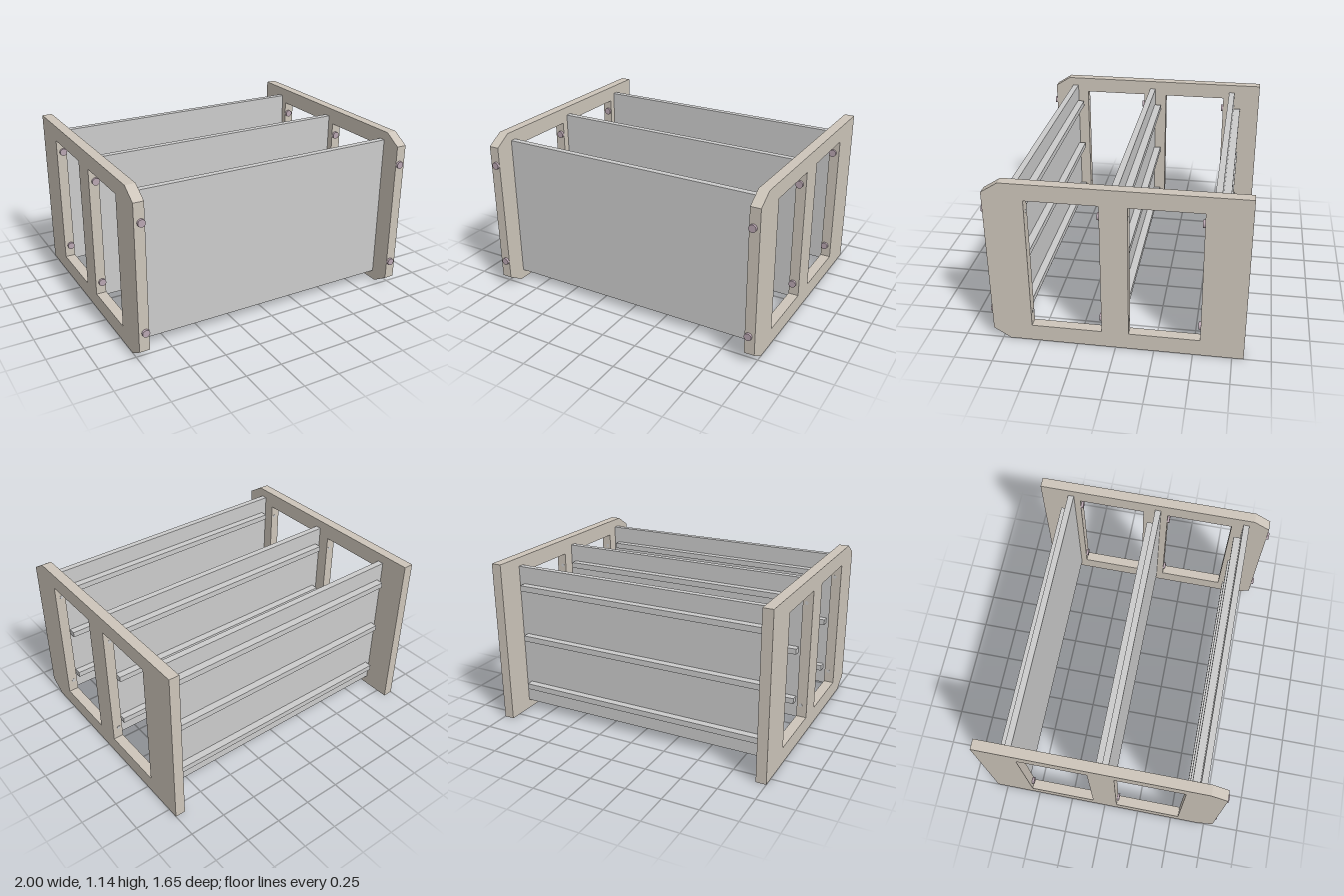
import * as THREE from 'three';

const wood = new THREE.MeshStandardMaterial({ color: 0xcdc5ba });
const grey = new THREE.MeshStandardMaterial({ color: 0xcccccc });
const metal = new THREE.MeshStandardMaterial({ color: 0xb9a6b1 });

function addMesh(parent, name, geometry, material, x, y, z) {
  const mesh = new THREE.Mesh(geometry, material);
  mesh.name = name;
  mesh.position.set(x, y, z);
  parent.add(mesh);
  return mesh;
}

// Side frame outline drawn in (z, y): chamfered front corners, two windows
function sideFrameGeometry() {
  const points = (list) => list.map(([z, y]) => new THREE.Vector2(z, y));
  const shape = new THREE.Shape(points([
    [-0.825, 0], [0.7, 0], [0.81, 0.07], [0.81, 1.07], [0.7, 1.14], [-0.825, 1.14],
  ]));
  for (const [z0, z1] of [[0.09, 0.55], [-0.545, -0.085]]) {
    shape.holes.push(new THREE.Path(points([[z0, 0.115], [z0, 1.03], [z1, 1.03], [z1, 0.115]])));
  }
  const geometry = new THREE.ExtrudeGeometry(shape, { depth: 0.07, bevelEnabled: false });
  return geometry.rotateY(-Math.PI / 2).translate(0.035, 0, 0);
}

export function createModel() {
  const model = new THREE.Group();
  model.name = 'dividerRack';

  // Side frames
  const frame = sideFrameGeometry();
  addMesh(model, 'leftSideFrame', frame, wood, 0.965, 0, 0);
  addMesh(model, 'rightSideFrame', frame, wood, -0.965, 0, 0);

  // Upright panels, each with three battens along its back
  const panel = new THREE.BoxGeometry(1.87, 1.015, 0.042);
  const batten = new THREE.BoxGeometry(1.785, 0.04, 0.05);
  for (const z of [0.65, 0.02, -0.61]) {
    const divider = new THREE.Group();
    divider.name = 'divider';
    divider.position.z = z;
    addMesh(divider, 'panel', panel, grey, 0, 0.5725, 0);
    for (const y of [0.2, 0.57, 0.94]) {
      addMesh(divider, 'batten', batten, grey, 0, y, -0.046);
    }
    model.add(divider);
  }

  // Bolt heads on the front face of every post
  const head = new THREE.CylinderGeometry(0.025, 0.025, 0.018, 24).rotateX(Math.PI / 2);
  const socket = new THREE.CylinderGeometry(0.013, 0.013, 0.002, 16).rotateX(Math.PI / 2);
  for (const x of [-0.956, 0.956]) {
    for (const y of [0.2, 0.94]) {
      for (const z of [0.81, 0.09, -0.545]) {
        addMesh(model, 'boltHead', head, metal, x, y, z + 0.007);
      }
      // Bolt ends showing on the back of the front and middle posts
      for (const z of [0.55, -0.085]) {
        addMesh(model, 'boltEnd', socket, grey, x, y, z);
      }
    }
  }
  return model;
}
